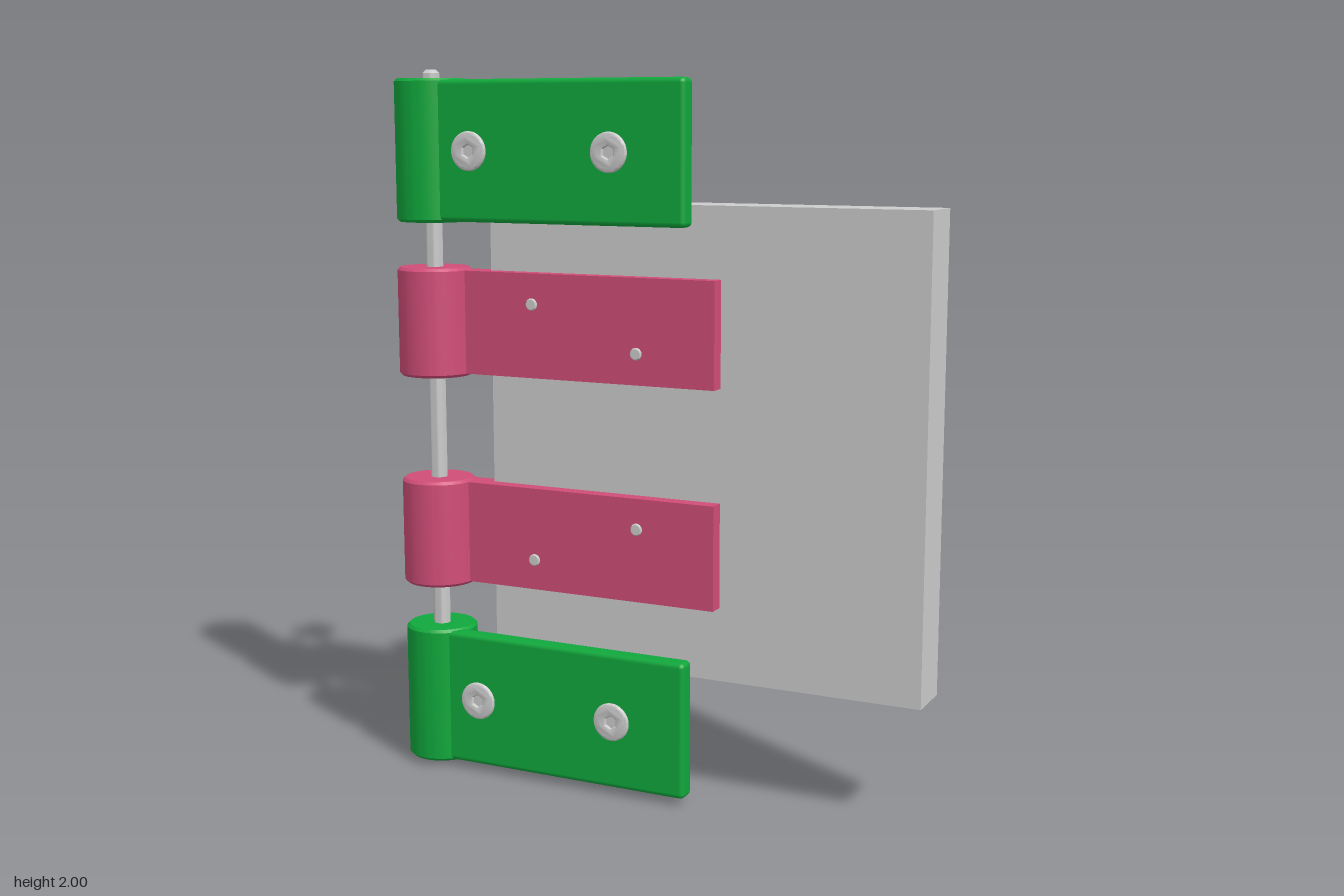
import * as THREE from 'three';
import { toCreasedNormals } from 'three/addons/utils/BufferGeometryUtils.js';
import { RoundedBoxGeometry } from 'three/addons/geometries/RoundedBoxGeometry.js';

const grey = new THREE.MeshStandardMaterial({ color: 0xcccccc });
const steel = new THREE.MeshStandardMaterial({ color: 0x8c8c88 });
const green = new THREE.MeshStandardMaterial({ color: 0x10a83c });
const pink = new THREE.MeshStandardMaterial({ color: 0xd04d78 });

const PIN_X = -0.675, PIN_Z = 0.075;

function add(parent, name, geometry, material, x = 0, y = 0, z = 0) {
  const mesh = new THREE.Mesh(geometry, material);
  mesh.name = name;
  mesh.position.set(x, y, z);
  parent.add(mesh);
  return mesh;
}

// Solid of revolution about y with chamfered rims, from y0 to y1
function chamferedRod(radius, y0, y1, chamfer, segments = 48) {
  const profile = [
    [0, y0], [radius - chamfer, y0], [radius, y0 + chamfer],
    [radius, y1 - chamfer], [radius - chamfer, y1], [0, y1],
  ].map(([r, y]) => new THREE.Vector2(r, y));
  return toCreasedNormals(new THREE.LatheGeometry(profile, segments), 0.6);
}

// Same solid lying along z
const zRod = (radius, z0, z1, chamfer = 0.002, segments = 32) =>
  chamferedRod(radius, z0, z1, chamfer, segments).rotateX(Math.PI / 2);

// Hexagon head pointing backwards, corners up and down
function hexHead(radius, z0, z1) {
  return new THREE.CylinderGeometry(radius, radius, z1 - z0, 6)
    .toNonIndexed().rotateX(Math.PI / 2).translate(0, 0, (z0 + z1) / 2);
}

// Low button head with a hexagonal socket, facing front
function buttonHead() {
  const shape = new THREE.Shape().absarc(0, 0, 0.045, 0, Math.PI * 2);
  const socket = new THREE.Path();
  for (let i = 0; i < 6; i++) {
    const a = -i * Math.PI / 3 + Math.PI / 6;
    socket[i ? 'lineTo' : 'moveTo'](0.028 * Math.cos(a), 0.028 * Math.sin(a));
  }
  socket.closePath();
  shape.holes.push(socket);
  const g = new THREE.ExtrudeGeometry(shape, {
    depth: 0.003, bevelThickness: 0.007, bevelSize: 0.009, bevelSegments: 4, curveSegments: 32,
  });
  return toCreasedNormals(g, 0.6).translate(0, 0, 0.149);
}

// Hinge knuckle: barrel on the pin with a flat leaf reaching to xEnd
function hingeLeaf(name, material, o) {
  const leaf = new THREE.Group();
  leaf.name = name;
  add(leaf, 'barrel', chamferedRod(o.radius, -o.barrelH / 2, o.barrelH / 2, 0.008, 64), material, PIN_X, 0, PIN_Z);
  const w = o.xEnd - PIN_X, d = o.z1 - o.z0;
  const plate = o.round ? new RoundedBoxGeometry(w, o.plateH, d, 2, o.round) : new THREE.BoxGeometry(w, o.plateH, d);
  add(leaf, 'plate', plate, material, (o.xEnd + PIN_X) / 2, 0, (o.z0 + o.z1) / 2);
  return leaf;
}

// Long bolt through an outer leaf, with a wide washer and hexagon nut behind
function outerBolt() {
  const bolt = new THREE.Group();
  bolt.name = 'outerBolt';
  add(bolt, 'buttonHead', buttonHead(), grey);
  add(bolt, 'socketFloor', zRod(0.03, 0.13, 0.151), grey);
  add(bolt, 'shank', zRod(0.01, -0.12, 0.14, 0.001, 20), grey);
  add(bolt, 'washer', zRod(0.073, -0.108, -0.077, 0.006, 40), grey);
  add(bolt, 'neck', zRod(0.046, -0.125, -0.105), grey);
  add(bolt, 'flange', zRod(0.056, -0.14, -0.123, 0.004), grey);
  add(bolt, 'hexHead', hexHead(0.057, -0.185, -0.138), steel);
  return bolt;
}

// Bolt through the panel and an inner leaf, its tip just proud of the leaf
function innerBolt() {
  const bolt = new THREE.Group();
  bolt.name = 'innerBolt';
  add(bolt, 'shank', zRod(0.017, -0.13, 0.092, 0.003, 20), grey);
  add(bolt, 'washer', zRod(0.063, -0.108, -0.095, 0.004, 40), grey);
  add(bolt, 'neck', zRod(0.042, -0.122, -0.105), grey);
  add(bolt, 'flange', zRod(0.054, -0.134, -0.12, 0.004), grey);
  add(bolt, 'hexHead', hexHead(0.055, -0.178, -0.132), steel);
  return bolt;
}

export function createModel() {
  const model = new THREE.Group();
  model.name = 'hingeAssembly';

  // Panel and hinge pin
  add(model, 'panel', new THREE.BoxGeometry(1.285, 1.3, 0.142), grey, 0.133, 0.99, -0.029);
  add(model, 'hingePin', chamferedRod(0.024, 0, 2, 0.01, 32), grey, PIN_X, 0, PIN_Z);

  // Upper and lower halves mirror about mid height
  for (const side of [-1, 1]) {
    const mid = 0.996;
    const outer = hingeLeaf('outerLeaf', green, {
      radius: 0.1025, barrelH: 0.395, plateH: 0.387, xEnd: 0.14, z0: 0.094, z1: 0.15, round: 0.014,
    });
    outer.position.y = mid + side * 0.782;

    const inner = hingeLeaf('innerLeaf', pink, {
      radius: 0.105, barrelH: 0.308, plateH: 0.292, xEnd: 0.198, z0: 0.01, z1: 0.085,
    });
    inner.position.y = mid + side * 0.303;
    model.add(outer, inner);

    for (const x of [-0.51, -0.08]) {
      const bolt = outerBolt();
      bolt.position.set(x, mid + side * 0.782, 0);
      model.add(bolt);
    }
    for (const [x, dy] of [[-0.355, 0.363], [-0.033, 0.243]]) {
      const bolt = innerBolt();
      bolt.position.set(x, mid + side * dy, 0);
      model.add(bolt);
    }
  }
  return model;
}
